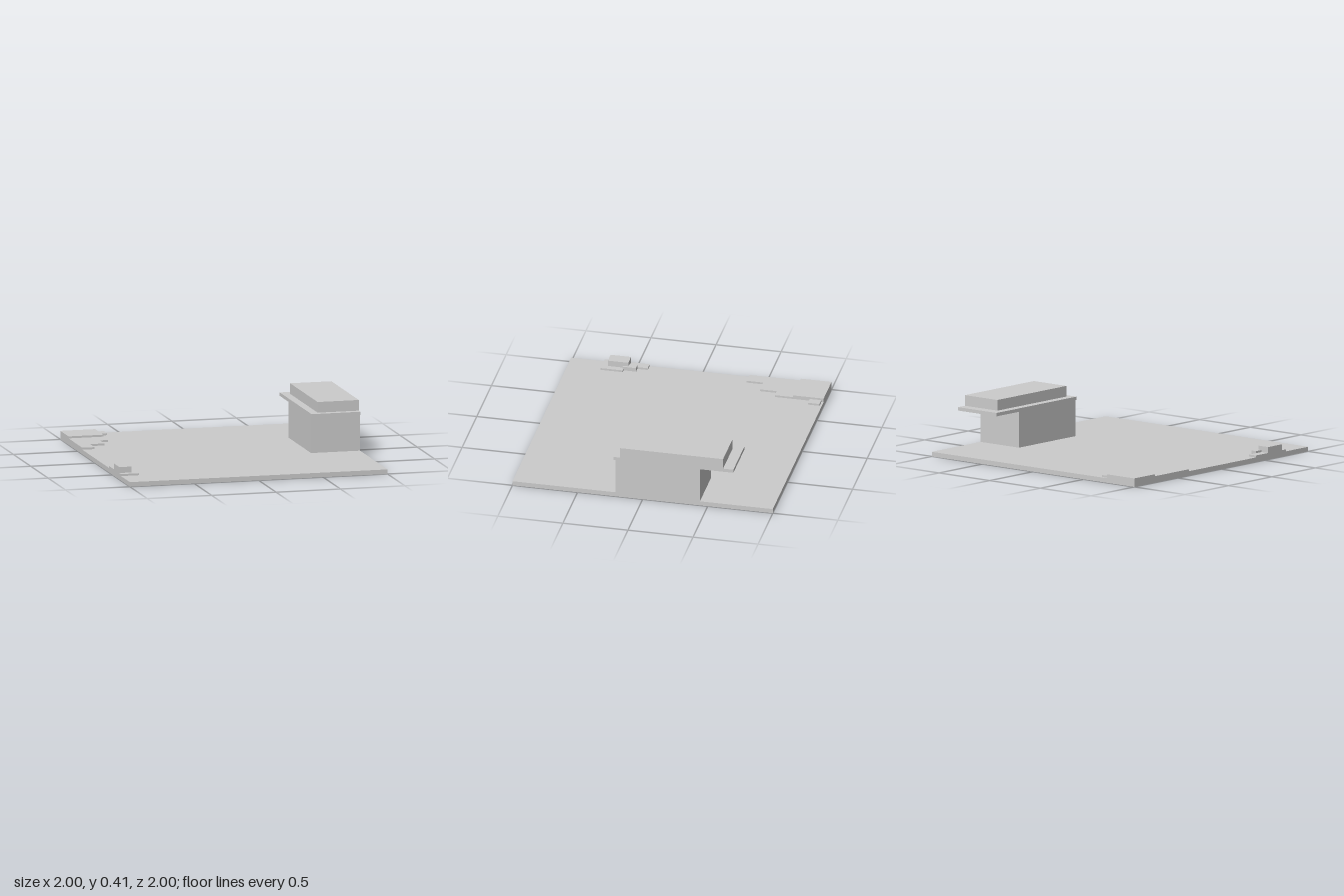
import * as THREE from 'three';

const material = new THREE.MeshStandardMaterial({ color: 0xcccccc, flatShading: true });

// Box given by its extents on each axis
function block(name, [x0, x1], [y0, y1], [z0, z1]) {
  const mesh = new THREE.Mesh(new THREE.BoxGeometry(x1 - x0, y1 - y0, z1 - z0), material);
  mesh.name = name;
  mesh.position.set((x0 + x1) / 2, (y0 + y1) / 2, (z0 + z1) / 2);
  return mesh;
}

// Flat terrace with a stepped outline of [x, z] corners
function terrace(name, corners, y0, y1) {
  const shape = new THREE.Shape(corners.map(([x, z]) => new THREE.Vector2(x, -z)));
  const geometry = new THREE.ExtrudeGeometry(shape, { depth: y1 - y0, bevelEnabled: false });
  geometry.rotateX(-Math.PI / 2);
  const mesh = new THREE.Mesh(geometry, material);
  mesh.name = name;
  mesh.position.y = y0;
  return mesh;
}

function group(name, ...parts) {
  const g = new THREE.Group();
  g.name = name;
  g.add(...parts);
  return g;
}

export function createModel() {
  const top = 0.035; // upper face of the ground slab

  // Ground
  const ground = block('groundSlab', [-1, 1], [0, top], [-1, 1]);

  // Building with overhanging roof plate and raised roof
  const building = group('building',
    block('buildingBody', [0.62, 1], [top, 0.308], [-0.44, 0.208]),
    block('roofPlate', [0.62, 1], [0.308, 0.334], [-0.697, 0.222]),
    block('upperRoof', [0.68, 1], [0.334, 0.415], [-0.618, 0.174]));

  // Stepped terrace in the back corner
  const backTerrace = group('backTerrace',
    terrace('steppedTerrace', [
      [-1, -1], [-1, -0.37], [-0.905, -0.37], [-0.905, -0.497],
      [-0.795, -0.497], [-0.795, -0.625], [-0.73, -0.625], [-0.73, -1],
    ], top, 0.05),
    block('raisedTerrace', [-1, -0.73], [0.05, 0.065], [-1, -0.765]),
    block('sideStep', [-0.73, -0.667], [top, 0.05], [-0.983, -0.893]));

  // Small stack of blocks near the front
  const frontStack = group('frontStack',
    block('lowStep', [-1, -0.86], [top, 0.05], [0.573, 0.743]),
    block('tallBlock', [-1, -0.905], [top, 0.095], [0.54, 0.697]),
    block('middleBlock', [-0.935, -0.89], [top, 0.065], [0.477, 0.583]),
    block('backStep', [-1, -0.935], [top, 0.05], [0.397, 0.54]));

  return group('diorama', ground, building, backTerrace, frontStack);
}
